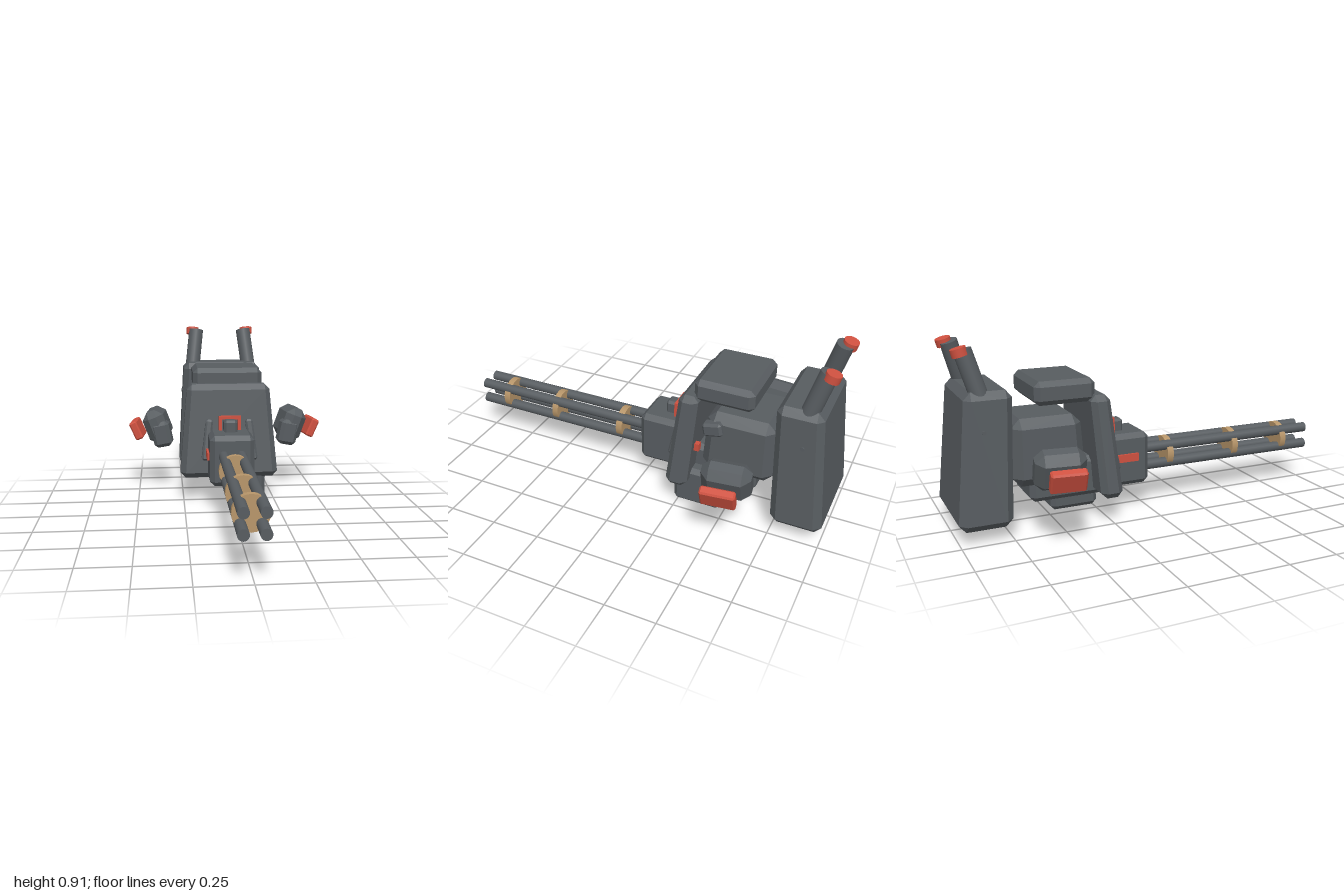
import * as THREE from 'three';
import { ConvexGeometry } from 'three/addons/geometries/ConvexGeometry.js';

// Box with bevelled edges; the top can be scaled and shifted in z
function bevelBox(w, h, d, c, { topW = 1, topD = 1, shift = 0 } = {}) {
  const pts = [];
  for (const sx of [-1, 1]) for (const sy of [-1, 1]) for (const sz of [-1, 1]) {
    for (let axis = 0; axis < 3; axis++) {
      const inset = [c, c, c];
      inset[axis] = 0;
      const x = sx * (w / 2 - inset[0]);
      const y = sy * (h / 2 - inset[1]);
      const z = sz * (d / 2 - inset[2]);
      const t = y / h + 0.5;
      pts.push(new THREE.Vector3(
        x * (1 + (topW - 1) * t), y, z * (1 + (topD - 1) * t) + shift * (t - 0.5)));
    }
  }
  return new ConvexGeometry(pts);
}

export function createModel() {
  const model = new THREE.Group();
  model.name = 'rotaryGun';
  const mat = (name, color) => {
    const m = new THREE.MeshStandardMaterial({ color });
    m.name = name;
    return m;
  };
  const grey = mat('gunmetal', 0x575c60);
  const red = mat('red', 0xcf5140);
  const tan = mat('brass', 0xb8966a);

  const add = (name, geo, material, pos, rot = [0, 0, 0]) => {
    const mesh = new THREE.Mesh(geo, material);
    mesh.name = name;
    mesh.position.set(...pos);
    mesh.rotation.set(...rot);
    model.add(mesh);
    return mesh;
  };

  // Cylinder between two points
  const rod = (name, a, b, r, material) => {
    const from = new THREE.Vector3(...a), to = new THREE.Vector3(...b);
    const dir = to.clone().sub(from);
    const mesh = add(name, new THREE.CylinderGeometry(r, r, dir.length(), 20), material,
      from.clone().add(to).multiplyScalar(0.5).toArray());
    mesh.quaternion.setFromUnitVectors(new THREE.Vector3(0, 1, 0), dir.normalize());
  };

  // Barrel cluster and its spacer discs
  for (const x of [-0.047, 0.047]) for (const y of [0.213, 0.305]) {
    rod('barrel', [x, y, -0.05], [x, y, 1], 0.026, grey);
  }
  for (const z of [0.14, 0.53, 0.84]) {
    rod('barrelSpacer', [0, 0.259, z - 0.017], [0, 0.259, z + 0.017], 0.084, tan);
  }

  // Front housing with cheek plates and red side panel
  add('frontHousing', bevelBox(0.235, 0.27, 0.3, 0.025), grey, [0, 0.273, -0.15]);
  for (const s of [-1, 1]) {
    add('cheekPlate', bevelBox(0.04, 0.22, 0.06, 0.01, { topD: 0.7, shift: -0.03 }), grey,
      [s * 0.12, 0.35, -0.215], [0, 0, s * 0.12]);
  }
  add('sidePanel', new THREE.BoxGeometry(0.02, 0.04, 0.12), red, [-0.119, 0.287, -0.125]);

  // Sight: grey block inside a thin red frame
  add('sightBlock', bevelBox(0.07, 0.08, 0.11, 0.012), grey, [0, 0.43, -0.165]);
  const frame = new THREE.Shape([[-0.06, 0], [0.06, 0], [0.06, 0.12], [-0.06, 0.12]]
    .map(p => new THREE.Vector2(...p)));
  frame.holes.push(new THREE.Path([[-0.043, 0.01], [-0.043, 0.103], [0.043, 0.103], [0.043, 0.01]]
    .map(p => new THREE.Vector2(...p))));
  add('sightFrame', new THREE.ExtrudeGeometry(frame, { depth: 0.02, bevelEnabled: false }),
    red, [0, 0.365, -0.187]);

  // Leaning, tapered shield
  add('shield', bevelBox(0.54, 0.51, 0.115, 0.03, { topW: 0.83, topD: 0.85, shift: -0.045 }),
    grey, [0, 0.39, -0.28]);

  // Main body, underside and top casing
  add('body', bevelBox(0.36, 0.33, 0.37, 0.045, { topW: 0.96, topD: 0.92, shift: -0.01 }),
    grey, [0, 0.385, -0.545]);
  add('underBody', bevelBox(0.27, 0.2, 0.4, 0.025), grey, [0, 0.225, -0.435]);
  add('topCasing', bevelBox(0.38, 0.115, 0.3, 0.025), grey, [0, 0.668, -0.465]);
  add('magazine', bevelBox(0.165, 0.21, 0.25, 0.022), grey, [0.119, 0.108, -0.353]);
  add('sideLatch', bevelBox(0.06, 0.07, 0.1, 0.012), grey, [0.17, 0.475, -0.42], [0.2, 0, 0]);
  add('sideButton', new THREE.BoxGeometry(0.03, 0.04, 0.04), red, [0.175, 0.35, -0.335]);

  // Side grips: large block, small front block and red plate
  for (const s of [-1, 1]) {
    const yaw = s * 0.12;
    add('gripBlock', bevelBox(0.125, 0.195, 0.235, 0.04), grey,
      [s * 0.388, 0.37, -0.575], [0, yaw, -s * 0.36]);
    add('gripFront', bevelBox(0.105, 0.145, 0.1, 0.02), grey,
      [s * 0.365, 0.33, -0.5], [0, yaw, -s * 0.2]);
    add('gripPlate', bevelBox(0.045, 0.108, 0.165, 0.008), red,
      [s * 0.505, 0.348, -0.575], [0, yaw, -s * 0.42]);
  }

  // Back pack with side studs
  add('backPack', bevelBox(0.52, 0.64, 0.255, 0.035, { topW: 0.87, topD: 0.86, shift: 0.043 }),
    grey, [0, 0.39, -0.857]);
  for (const s of [-1, 1]) {
    rod('packStud', [s * 0.21, 0.53, -0.87], [s * 0.24, 0.53, -0.87], 0.01, grey);
    // Exhaust pipes with offset red caps
    rod('exhaustPipe', [s * 0.178, 0.62, -0.85], [s * 0.145, 0.895, -0.93], 0.043, grey);
    rod('exhaustCap', [s * 0.167, 0.87, -0.943], [s * 0.165, 0.907, -0.953], 0.037, red);
  }

  return model;
}
